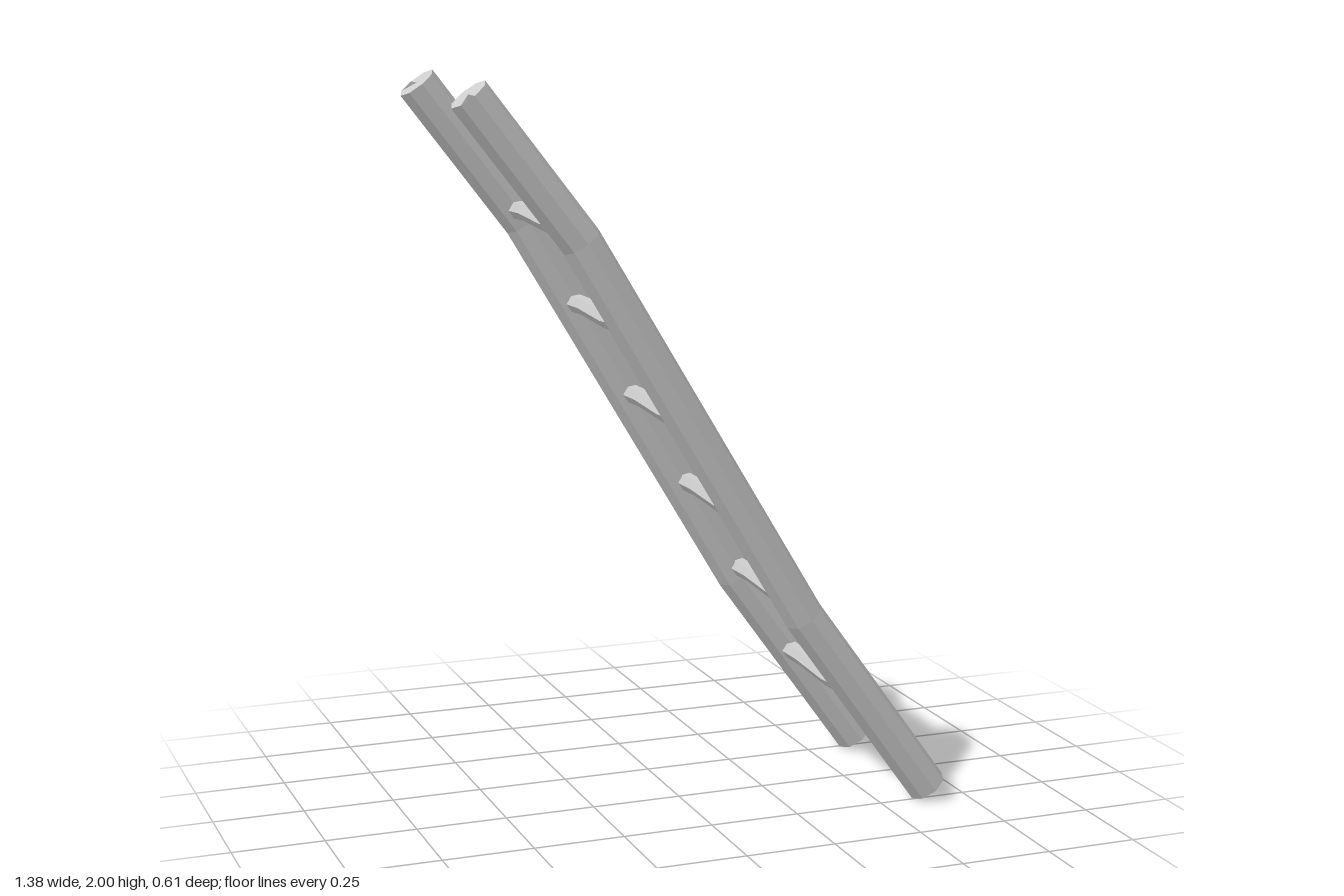
import * as THREE from 'three';

const material = new THREE.MeshStandardMaterial({ color: 0xcccccc, flatShading: true, side: THREE.DoubleSide });

// Joins rings of points into a capped faceted pole; skip leaves out one slice of the last cap
function loft(rings, flip = false, skip = -1) {
  const pos = [];
  const tri = (a, b, c) => {
    for (const p of flip ? [a, c, b] : [a, b, c]) pos.push(p.x, p.y, p.z);
  };
  const n = rings[0].length;
  const middle = (ring) => ring.reduce((s, p) => s.add(p), new THREE.Vector3()).divideScalar(n);
  const first = rings[0], last = rings[rings.length - 1];
  const c0 = middle(first), c1 = middle(last);
  for (let j = 0; j < n; j++) {
    const k = (j + 1) % n;
    for (let i = 0; i < rings.length - 1; i++) {
      const a = rings[i], b = rings[i + 1];
      tri(a[j], a[k], b[k]);
      tri(a[j], b[k], b[j]);
    }
    tri(c0, first[k], first[j]);
    if (j !== skip) tri(c1, last[j], last[k]);
  }
  const geometry = new THREE.BufferGeometry();
  geometry.setAttribute('position', new THREE.Float32BufferAttribute(pos, 3));
  geometry.computeVertexNormals();
  return geometry;
}

// Centre line of a rail, bottom to top: x, y, distance from the middle
const railPath = [
  [0.643, 0.033, 0.242],
  [0.265, 0.555, 0.246],
  [-0.355, 1.59, 0.244],
  [-0.645, 1.967, 0.242],
];

// Eight-sided bent rail with a split in its top end
function makeRail(side) {
  const points = railPath.map(([x, y]) => new THREE.Vector2(x, y));
  const rings = points.map((p, i) => {
    const before = p.clone().sub(points[Math.max(i - 1, 0)]).normalize();
    const after = points[Math.min(i + 1, points.length - 1)].clone().sub(p).normalize();
    const along = before.add(after).normalize();
    return Array.from({ length: 8 }, (_, j) => {
      const a = (j * Math.PI) / 4;
      const across = 0.055 * Math.sin(a);
      return new THREE.Vector3(
        p.x + along.y * across,
        p.y - along.x * across,
        side * (railPath[i][2] + 0.057 * Math.cos(a)),
      );
    });
  });
  return loft(rings, side < 0, 7);
}

// Slightly crooked six-sided rung: z, x offset, y offset, radius
const rungPath = [
  [-0.205, 0, 0, 0.026],
  [-0.1, -0.004, 0.004, 0.025],
  [0.08, -0.004, -0.004, 0.026],
  [0.205, 0.005, 0, 0.027],
];

function makeRung() {
  return loft(rungPath.map(([z, x, y, r]) => Array.from({ length: 6 }, (_, j) => {
    const a = (j * Math.PI) / 3 + 0.09;
    return new THREE.Vector3(x + r * Math.cos(a), y + r * Math.sin(a), z);
  })));
}

export function createModel() {
  const group = new THREE.Group();
  group.name = 'ladder';

  for (const [name, side] of [['frontRail', 1], ['backRail', -1]]) {
    const rail = new THREE.Mesh(makeRail(side), material);
    rail.name = name;
    group.add(rail);
  }

  // Rungs evenly spaced down the slope
  const rungGeometry = makeRung();
  for (let i = 0; i < 6; i++) {
    const rung = new THREE.Mesh(rungGeometry, material);
    rung.name = `rung${i + 1}`;
    rung.position.set(-0.385 + 0.161 * i, 1.627 - 0.26 * i, 0);
    group.add(rung);
  }
  return group;
}
